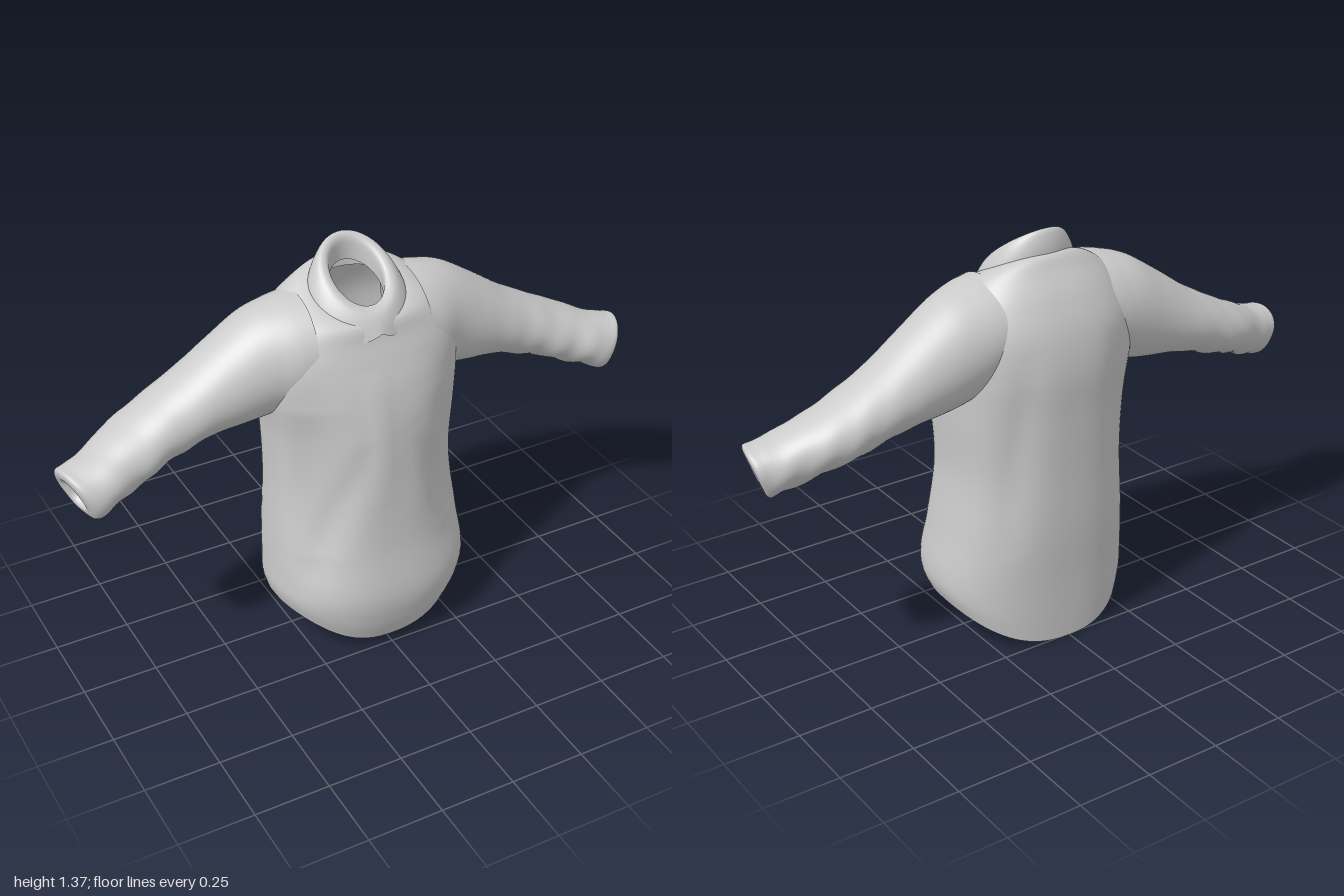
import * as THREE from 'three';

const SEGS = 80;
const material = new THREE.MeshStandardMaterial({ color: 0xcccccc, side: THREE.DoubleSide });

// Smoothly interpolates the numbers of a row table, then skins rings of points,
// leaving out the faces that lie in a cut
function loft(name, rows, steps, pointAt, { flip = false, cut = () => false } = {}) {
  const columns = rows[0].map((_, k) =>
    new THREE.SplineCurve(rows.map((row, i) => new THREE.Vector2(i, row[k]))));
  const positions = [], index = [];
  for (let i = 0; i <= steps; i++) {
    const row = columns.map((curve) => curve.getPoint(i / steps).y);
    for (let j = 0; j < SEGS; j++) {
      const point = pointAt(row, (j / SEGS) * Math.PI * 2);
      positions.push(...point);
      if (i === steps || cut(...point)) continue;
      const a = i * SEGS + j, b = i * SEGS + (j + 1) % SEGS;
      const c = a + SEGS, d = b + SEGS;
      if (flip) index.push(a, b, c, b, d, c);
      else index.push(a, c, b, b, c, d);
    }
  }
  const geometry = new THREE.BufferGeometry();
  geometry.setAttribute('position', new THREE.Float32BufferAttribute(positions, 3));
  geometry.setIndex(index);
  geometry.computeVertexNormals();
  const mesh = new THREE.Mesh(geometry, material);
  mesh.name = name;
  return mesh;
}

const squarish = (v, power) => Math.sign(v) * Math.abs(v) ** power;

// A soft cloth ridge running between two points of the front view
function ridge(x, y, x0, y0, x1, y1, width) {
  const dx = x1 - x0, dy = y1 - y0;
  const t = THREE.MathUtils.clamp(((x - x0) * dx + (y - y0) * dy) / (dx * dx + dy * dy), 0, 1);
  const d = Math.hypot(x - x0 - t * dx, y - y0 - t * dy) / width;
  return Math.exp(-d * d) * Math.sin(Math.PI * (0.1 + 0.8 * t));
}

// Body rings: height, tilt, raised side hem, right, left, front, back
const bodyRows = [
  [0.015, -0.06, 0.12, 0.305, 0.335, 0.245, 0.255],
  [0.1, -0.04, 0.09, 0.32, 0.355, 0.272, 0.258],
  [0.22, 0, 0.04, 0.32, 0.355, 0.285, 0.262],
  [0.4, 0, 0, 0.315, 0.335, 0.262, 0.27],
  [0.6, 0, 0, 0.305, 0.315, 0.25, 0.272],
  [0.8, 0, 0, 0.312, 0.328, 0.235, 0.276],
  [0.95, 0, 0, 0.335, 0.335, 0.21, 0.28],
  [1.06, 0.05, 0, 0.335, 0.335, 0.18, 0.262],
  [1.14, 0.15, 0, 0.3, 0.3, 0.157, 0.222],
  [1.2, 0.3, 0, 0.24, 0.24, 0.147, 0.172],
  [1.23, 0.42, 0, 0.18, 0.18, 0.137, 0.145],
  [1.24, 0.5, 0, 0.125, 0.125, 0.115, 0.12],
];

function bodyPoint([y0, tilt, hem, right, left, front, back], angle) {
  const c = Math.cos(angle), s = Math.sin(angle);
  const x = squarish(c, 0.84) * (c > 0 ? left : right);
  let z = squarish(s, 0.84) * (s > 0 ? front : back);
  // The side vents are cut squarer in front than behind
  const y = y0 - tilt * z + hem * (1 - Math.abs(s) ** (s > 0 ? 2.6 : 2));
  // Hollows under the arms, drape folds on the chest and down the back
  if (s > 0) {
    z += s * (0.012 * ridge(x, y, -0.04, 1.0, -0.02, 0.6, 0.03)
      - 0.08 * ridge(x, y, -0.27, 0.92, -0.27, 0.38, 0.1)
      - 0.055 * ridge(x, y, 0.28, 0.92, 0.28, 0.4, 0.1)
      - 0.015 * ridge(x, y, -0.1, 0.75, -0.29, 0.25, 0.04)
      - 0.015 * ridge(x, y, 0.1, 0.8, 0.28, 0.35, 0.045));
  } else {
    z -= s * (0.018 * ridge(x, y, -0.17, 1.0, -0.25, 0.4, 0.05)
      + 0.015 * ridge(x, y, 0.17, 1.0, 0.22, 0.4, 0.05));
  }
  return [x, y, z];
}

// The openings where the sleeves join the body
const armhole = (x, y, z) => Math.abs(x) > 0.21
  && ((y - 1.04) / 0.165) ** 2 + ((z + 0.045) / 0.15) ** 2 < 0.85;

// Sleeve rings: top x, top y, bottom x, bottom y, front z, back z, forward skew
const sleeveRows = [
  [0.19, 1.241, 0.215, 0.9, 0.139, -0.213, 0],
  [0.26, 1.229, 0.255, 0.876, 0.129, -0.214, 0],
  [0.35, 1.2, 0.31, 0.855, 0.103, -0.21, 0],
  [0.46, 1.13, 0.39, 0.842, 0.085, -0.202, 0],
  [0.58, 1.048, 0.5, 0.832, 0.07, -0.195, 0],
  [0.7, 0.98, 0.62, 0.8, 0.068, -0.185, 0.05],
  [0.82, 0.92, 0.74, 0.757, 0.08, -0.16, 0.1],
  [0.9, 0.885, 0.83, 0.725, 0.095, -0.12, 0.15],
  [0.96, 0.868, 0.89, 0.7, 0.1, -0.1, 0.2],
  [0.995, 0.86, 0.93, 0.69, 0.09, -0.085, 0.22],
  // Cuff edge turning back inside
  [0.985, 0.825, 0.945, 0.725, 0.055, -0.05, 0.22],
  [0.94, 0.82, 0.895, 0.735, 0.045, -0.04, 0.2],
];

const sleevePoint = (side) => ([tx, ty, bx, by, front, back, skew], angle) => {
  const c = Math.cos(angle), s = Math.sin(angle);
  const x = (tx + bx) / 2 + s * (tx - bx) / 2;
  const y = (ty + by) / 2 + s * (ty - by) / 2;
  const z = (front + back) / 2 + c * (front - back) / 2;
  // Light creases, stronger below and towards the cuff
  const crease = 0.003 * (Math.sin(x * 37 + angle * 2) + Math.sin(x * 61 - angle * 3))
    * (0.6 - 0.4 * s) * THREE.MathUtils.smoothstep(x, 0.4, 0.75);
  return [side * (x - skew * z), y + s * crease, z + c * crease];
};

// Collar rings: height, tilt, half width, front, back, drop of the two points
const collarRows = [
  [1.195, 0.32, 0.17, 0.163, 0.13, 0.04],
  [1.245, 0.5, 0.15, 0.15, 0.132, 0.012],
  [1.282, 0.66, 0.125, 0.135, 0.12, 0],
  [1.293, 0.74, 0.103, 0.117, 0.104, 0],
  [1.278, 0.76, 0.084, 0.092, 0.09, 0],
  [1.22, 0.65, 0.083, 0.09, 0.092, 0],
];

function collarPoint([y0, tilt, half, front, back, drop], angle) {
  const c = Math.cos(angle), s = Math.sin(angle);
  const z = s * (s > 0 ? front : back);
  // Two hanging points with a notch between them
  const points = drop * Math.max(0, s) * Math.abs(Math.sin(2 * angle));
  return [c * half * (1 + 2 * points), y0 - tilt * z - points, z];
}

export function createModel() {
  const shirt = new THREE.Group();
  shirt.name = 'shirt';
  shirt.add(loft('body', bodyRows, 110, bodyPoint, { cut: armhole }));
  shirt.add(loft('leftSleeve', sleeveRows, 77, sleevePoint(1)));
  shirt.add(loft('rightSleeve', sleeveRows, 77, sleevePoint(-1), { flip: true }));
  shirt.add(loft('collar', collarRows, 30, collarPoint));
  return shirt;
}
